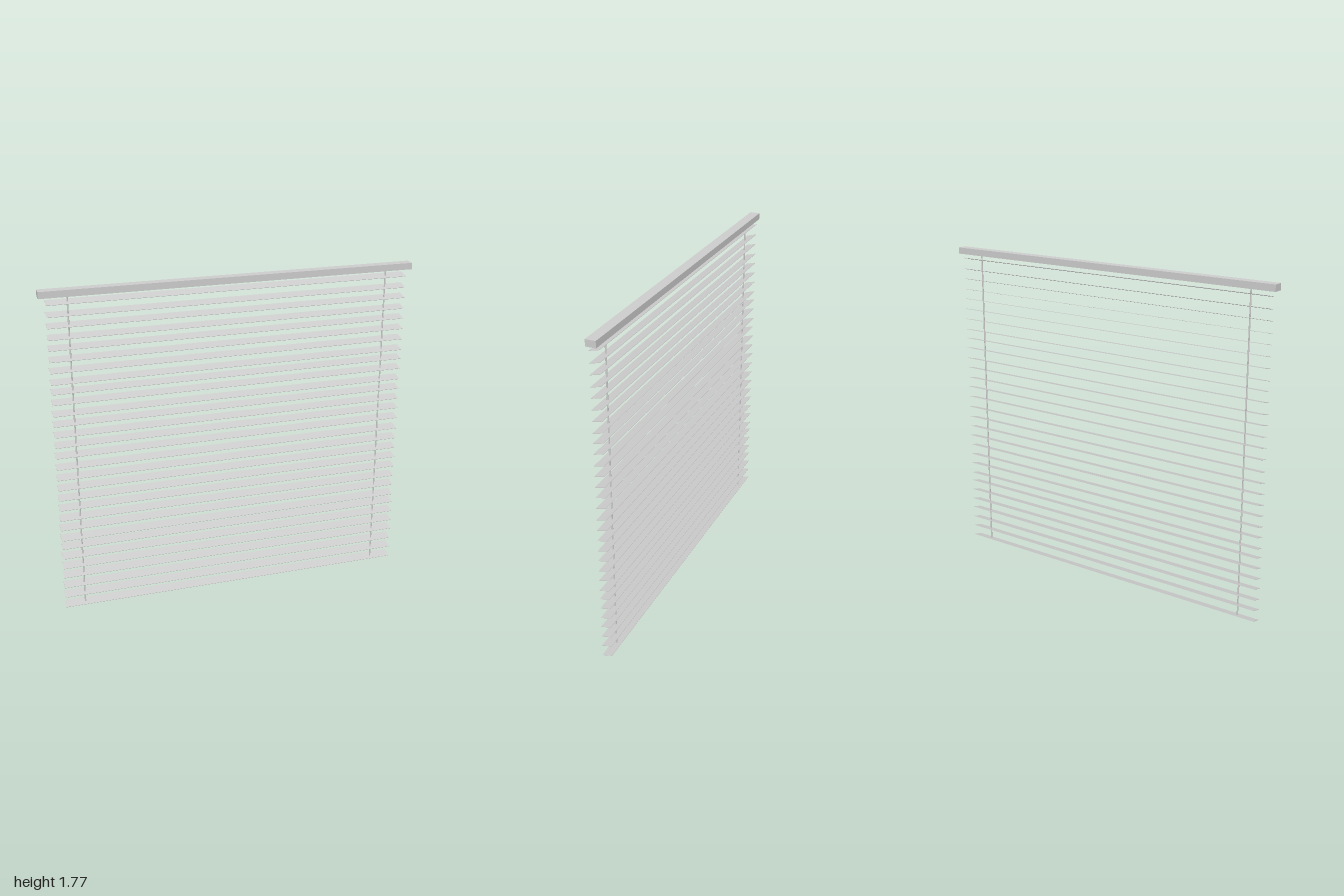
import * as THREE from 'three';

export function createModel() {
  const blind = new THREE.Group();
  blind.name = 'venetianBlind';
  const material = new THREE.MeshStandardMaterial({ color: 0xcccccc });

  function addBox(name, [w, h, d], [x, y, z], tilt = 0) {
    const mesh = new THREE.Mesh(new THREE.BoxGeometry(w, h, d), material);
    mesh.name = name;
    mesh.position.set(x, y, z);
    mesh.rotation.x = tilt;
    blind.add(mesh);
  }

  // Head rail across the top
  addBox('headRail', [2, 0.035, 0.054], [0, 1.756, -0.002]);

  // Slats, hung slightly unevenly, front edge tipped down
  const slatHeights = [
    0.008, 0.069, 0.128, 0.19, 0.246, 0.305, 0.364, 0.414, 0.476, 0.533,
    0.593, 0.651, 0.71, 0.769, 0.829, 0.893, 0.953, 1.01, 1.07, 1.126,
    1.188, 1.245, 1.297, 1.358, 1.417, 1.476, 1.532, 1.592, 1.649, 1.71,
  ];
  const tilt = 0.25;
  for (const y of slatHeights) {
    addBox('slat', [1.93, 0.002, 0.056], [0, y, 0.001], tilt);
  }

  // Two lift cords running through the slats
  for (const side of [-1, 1]) {
    const cord = new THREE.Mesh(new THREE.CylinderGeometry(0.004, 0.004, 1.735, 8), material);
    cord.name = side > 0 ? 'leftCord' : 'rightCord';
    cord.position.set(side * 0.855, 0.008 + 1.735 / 2, 0.003);
    blind.add(cord);
  }

  return blind;
}
